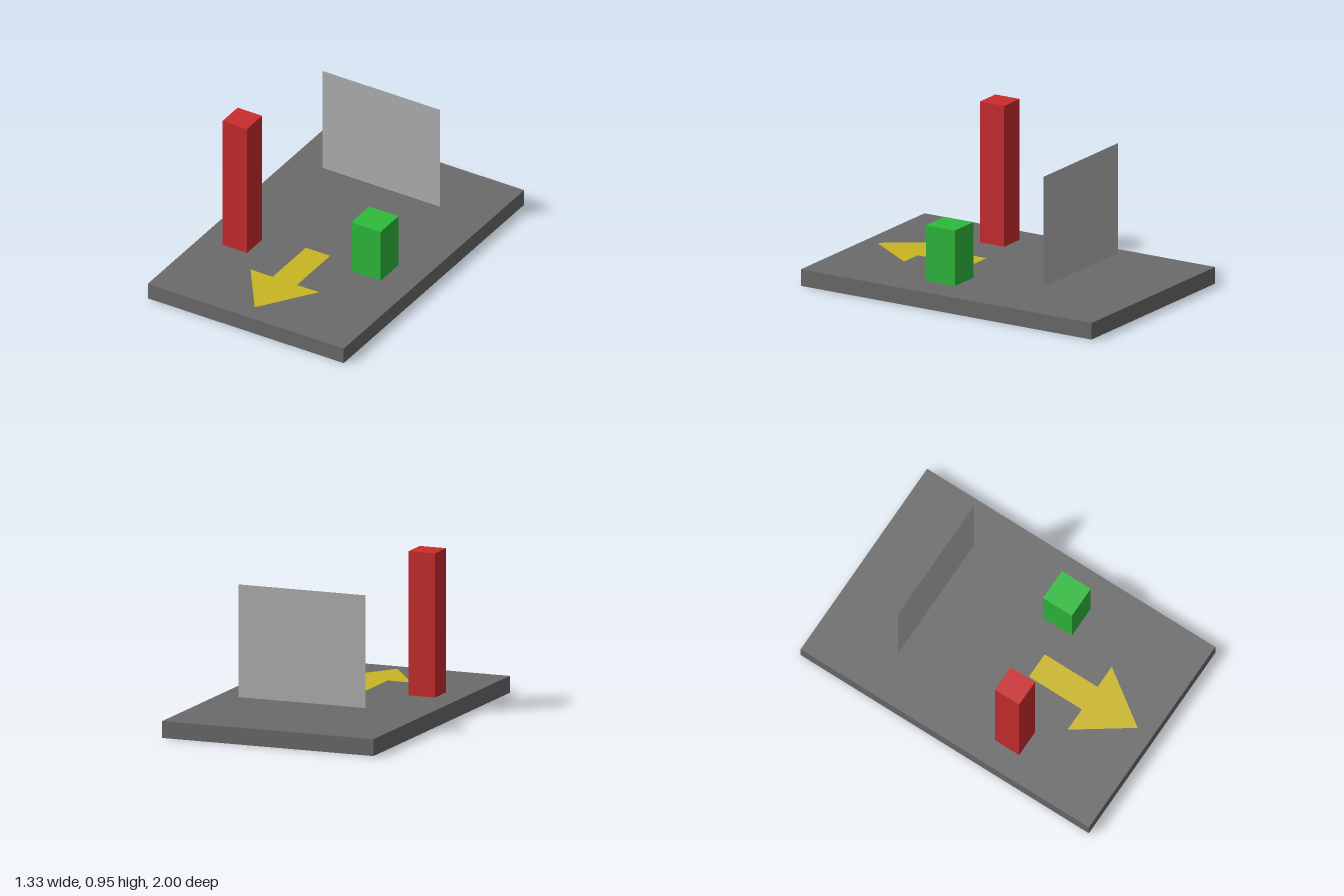
import * as THREE from 'three';

const mat = (name, color, side = THREE.FrontSide) =>
  Object.assign(new THREE.MeshStandardMaterial({ color, side }), { name });

export function createModel() {
  const group = new THREE.Group();
  const add = (name, geometry, material, x, y, z) => {
    const mesh = new THREE.Mesh(geometry, material);
    mesh.name = name;
    mesh.position.set(x, y, z);
    group.add(mesh);
  };
  // Box standing on the height y
  const block = (name, material, w, h, d, x, y, z) =>
    add(name, new THREE.BoxGeometry(w, h, d), material, x, y + h / 2, z);

  // Base slab and the two posts standing on it
  block('base', mat('dark grey', 0x6b6b6b), 1.333, 0.1, 2, 0, 0, 0);
  block('tallPost', mat('red', 0xca2c2e), 0.167, 0.853, 0.167, -0.433, 0.1, 0.333);
  block('shortPost', mat('green', 0x2eba3c), 0.2, 0.336, 0.2, 0.367, 0.1, 0.167);

  // Upright sheet floating just above the base
  add('panel', new THREE.PlaneGeometry(0.8, 0.667),
    mat('light grey', 0xb2b2b2, THREE.DoubleSide), 0, 0.503, -0.5);

  // Flat arrow pointing to the front
  const half = [[0.083, 0.2], [0.083, 0.567], [0.233, 0.567], [0, 0.9]];
  const mirrored = half.slice(0, 3).reverse().map(([x, z]) => [-x, z]);
  const outline = [...half, ...mirrored].map(([x, z]) => new THREE.Vector2(x, -z));
  const arrow = new THREE.ShapeGeometry(new THREE.Shape(outline)).rotateX(-Math.PI / 2);
  add('arrow', arrow, mat('yellow', 0xc9b522, THREE.DoubleSide), 0, 0.107, 0);

  return group;
}
